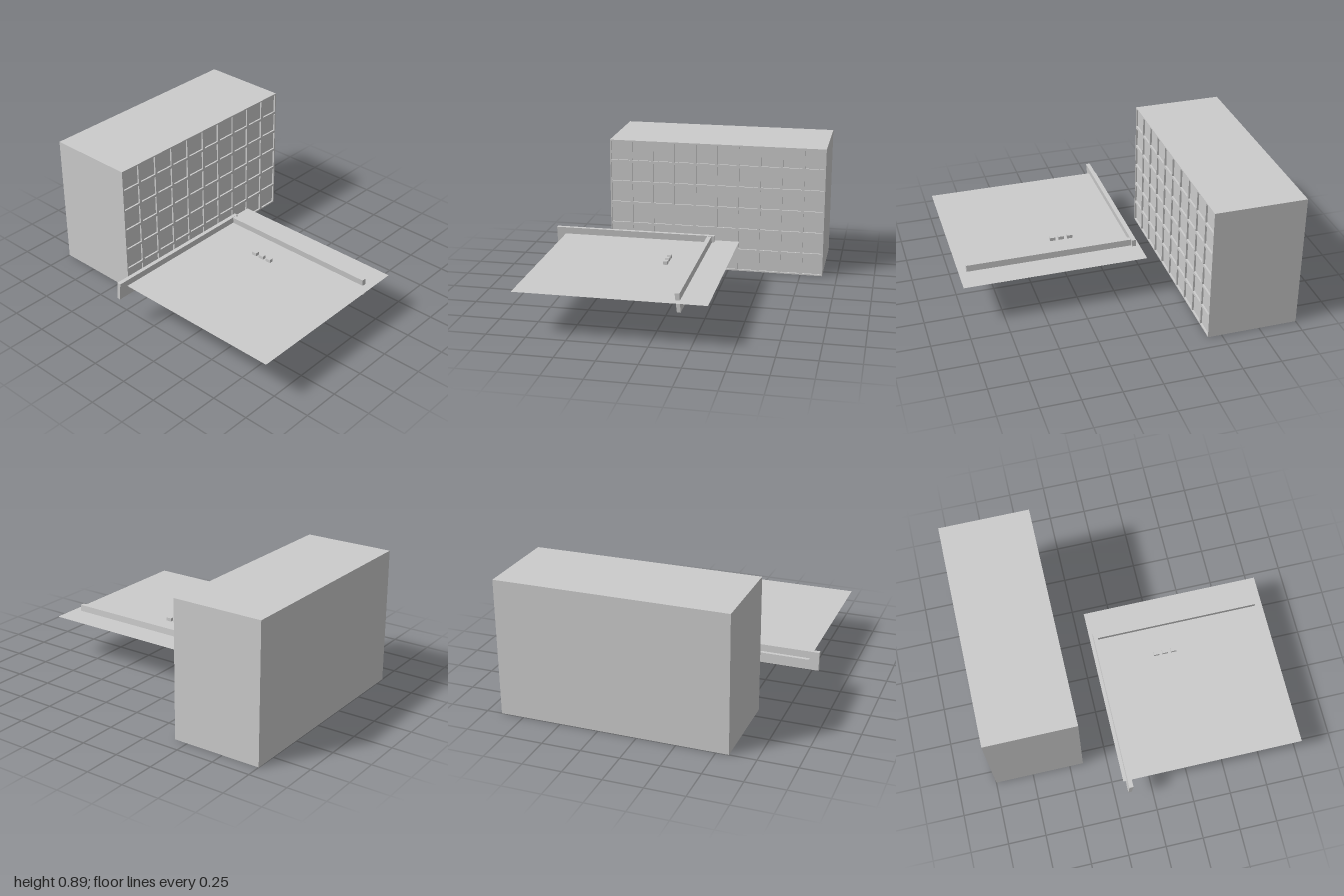
import * as THREE from 'three';

const material = new THREE.MeshStandardMaterial({ color: 0xcccccc, flatShading: true });
const sheetMaterial = new THREE.MeshStandardMaterial({ color: 0xcccccc, side: THREE.DoubleSide });

function add(parent, name, geometry, x = 0, y = 0, z = 0, mat = material) {
  const mesh = new THREE.Mesh(geometry, mat);
  mesh.name = name;
  mesh.position.set(x, y, z);
  parent.add(mesh);
  return mesh;
}

// Closed polygon from [x, y] pairs
function polygon(points, Type = THREE.Shape) {
  return new Type(points.map(([x, y]) => new THREE.Vector2(x, y)));
}

function rect(x0, y0, x1, y1, Type) {
  return polygon([[x0, y0], [x1, y0], [x1, y1], [x0, y1]], Type);
}

function extrude(shape, depth) {
  return new THREE.ExtrudeGeometry(shape, { depth, bevelEnabled: false });
}

export function createModel() {
  const model = new THREE.Group();
  model.name = 'buildingAndTerrace';

  // Building: solid block with a shallow window lattice on its +x face
  const building = new THREE.Group();
  building.name = 'building';
  model.add(building);
  const height = 0.89, length = 1.48, relief = 0.012, faceX = -0.41, centreZ = -0.16;
  const width = faceX + 1 - relief;
  add(building, 'block', new THREE.BoxGeometry(width, height, length), -1 + width / 2, height / 2, centreZ);

  const columns = 10, rows = 6, halfBar = 0.009;
  const cellW = length / columns, cellH = height / rows;
  const lattice = rect(-length / 2, 0, length / 2, height);
  for (let c = 0; c < columns; c++) {
    for (let r = 0; r < rows; r++) {
      const x = -length / 2 + c * cellW, y = r * cellH;
      lattice.holes.push(rect(x + halfBar, y + halfBar, x + cellW - halfBar, y + cellH - halfBar, THREE.Path));
    }
  }
  add(building, 'windowLattice', extrude(lattice, relief).rotateY(Math.PI / 2), faceX - relief, 0, centreZ);

  // Terrace: thin sheet
  const terrace = new THREE.Group();
  terrace.name = 'terrace';
  model.add(terrace);
  add(terrace, 'floorSheet', new THREE.PlaneGeometry(1.19, 1.185).rotateX(-Math.PI / 2), 0.405, 0.285, 0.237, sheetMaterial);

  // Leaning low walls crossing the sheet
  const sideProfile = polygon([[-0.171, 0.21], [-0.148, 0.21], [-0.137, 0.33], [-0.164, 0.33]]);
  add(terrace, 'sideWall', extrude(sideProfile, 1.085), 0, 0, -0.195);
  // Profile x runs along -z, extrusion along +x
  const backProfile = polygon([[0.163, 0.21], [0.185, 0.21], [0.178, 0.328], [0.149, 0.328]]);
  add(terrace, 'backWall', extrude(backProfile, 1.085).rotateY(Math.PI / 2), -0.137, 0, 0);

  // Row of three small blocks
  for (let i = 0; i < 3; i++) {
    add(terrace, 'smallBlock', new THREE.BoxGeometry(0.037, 0.036, 0.026), 0.221 + i * 0.058, 0.289, 0.032);
  }

  return model;
}
